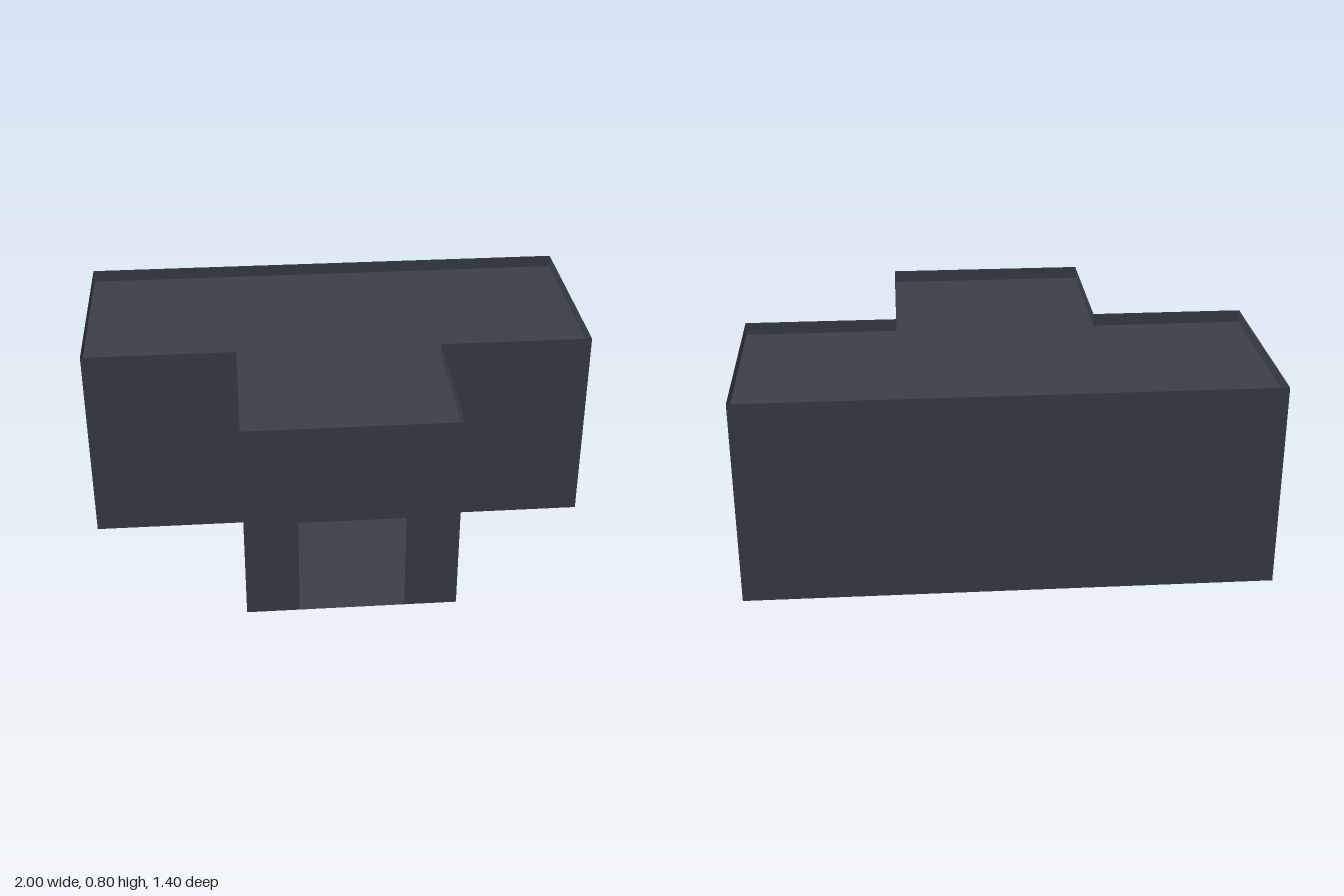
import * as THREE from 'three';

const HEIGHT = 0.8, ROOF = 0.75, DOOR = 0.4;

// T-shaped plan as [x, z] corners; door: half width of an opening in the wall starting there
const PLAN = [
  { at: [-0.4, 0.7], name: 'frontWall', door: 0.2 },
  { at: [0.4, 0.7], name: 'leftStemWall' },
  { at: [0.4, 0.1], name: 'leftFrontWall' },
  { at: [1, 0.1], name: 'leftEndWall', door: 0.2 },
  { at: [1, -0.7], name: 'backWall' },
  { at: [-1, -0.7], name: 'rightEndWall', door: 0.2 },
  { at: [-1, 0.1], name: 'rightFrontWall' },
  { at: [-0.4, 0.1], name: 'rightStemWall' },
];

export function createModel() {
  const group = new THREE.Group();
  group.name = 'teeTunnel';
  const slate = new THREE.MeshStandardMaterial({ color: 0x3a3f4a, side: THREE.DoubleSide });
  slate.name = 'slate';

  const add = (name, geometry) => {
    const mesh = new THREE.Mesh(geometry, slate);
    mesh.name = name;
    group.add(mesh);
    return mesh;
  };
  const shapeOf = (points) => new THREE.ShapeGeometry(
    new THREE.Shape(points.map(([x, y]) => new THREE.Vector2(x, y))));

  // Thin outer walls, with a doorway reaching the floor at each open end
  PLAN.forEach(({ at: [x0, z0], name, door }, i) => {
    const [x1, z1] = PLAN[(i + 1) % PLAN.length].at;
    const half = Math.hypot(x1 - x0, z1 - z0) / 2;
    const doorway = door ? [[-door, 0], [-door, DOOR], [door, DOOR], [door, 0]] : [];
    const wall = add(name, shapeOf([
      [-half, 0], ...doorway, [half, 0], [half, HEIGHT], [-half, HEIGHT],
    ]));
    wall.position.set((x0 + x1) / 2, 0, (z0 + z1) / 2);
    wall.rotation.y = Math.atan2(z0 - z1, x1 - x0);
  });

  // Floor, and roof set slightly below the wall tops
  for (const [name, y] of [['floor', 0], ['roof', ROOF]]) {
    const slab = add(name, shapeOf(PLAN.map(({ at: [x, z] }) => [x, -z])).rotateX(-Math.PI / 2));
    slab.position.y = y;
  }
  return group;
}
